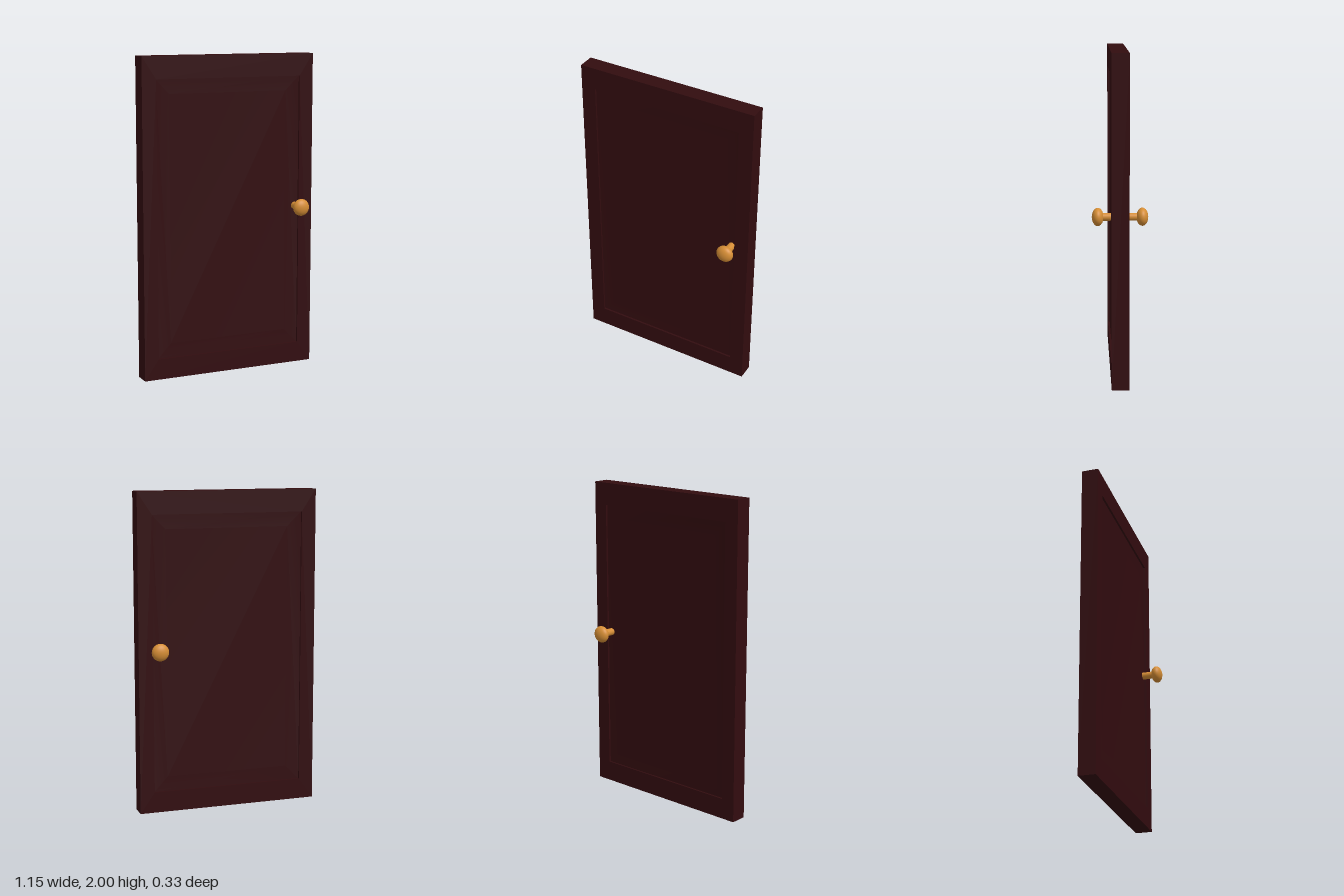
import * as THREE from 'three';

const W = 1.155, H = 2, T = 0.105;            // door slab
const OX = 0.485, OY0 = 0.13, OY1 = 1.86;     // panel opening

// Rectangle as a shape or hole outline
function rect(path, x, y0, y1) {
  path.moveTo(-x, y0);
  path.lineTo(x, y0);
  path.lineTo(x, y1);
  path.lineTo(-x, y1);
  path.closePath();
  return path;
}

// Softly sloped recessed panel: two rectangular loops and a flat middle
function panelGeometry() {
  const pos = [], idx = [];
  for (const [inset, depth] of [[0, 0.012], [0.09, 0.02]]) {
    const x = OX - inset, y0 = OY0 + inset, y1 = OY1 - inset, z = T / 2 - depth;
    pos.push(-x, y0, z, x, y0, z, x, y1, z, -x, y1, z);
  }
  for (let i = 0; i < 4; i++) {
    const j = (i + 1) % 4;
    idx.push(i, j, 4 + j, i, 4 + j, 4 + i);
  }
  idx.push(4, 5, 6, 4, 6, 7);
  const g = new THREE.BufferGeometry();
  g.setAttribute('position', new THREE.Float32BufferAttribute(pos, 3));
  g.setIndex(idx);
  g.computeVertexNormals();
  return g;
}

export function createModel() {
  const wood = new THREE.MeshStandardMaterial({ color: 0x320c0f });
  wood.name = 'darkWood';
  const brass = new THREE.MeshStandardMaterial({ color: 0xd58d35 });
  brass.name = 'brass';

  const door = new THREE.Group();
  door.name = 'door';
  const add = (name, geometry, material, parent = door) => {
    const mesh = new THREE.Mesh(geometry, material);
    mesh.name = name;
    parent.add(mesh);
    return mesh;
  };

  // Frame around the panel opening
  const outline = rect(new THREE.Shape(), W / 2, 0, H);
  outline.holes.push(rect(new THREE.Path(), OX, OY0, OY1));
  const frame = new THREE.ExtrudeGeometry(outline, { depth: T, bevelEnabled: false });
  add('frame', frame.translate(0, 0, -T / 2), wood);

  // Recessed panels on both faces
  const panel = panelGeometry();
  add('frontPanel', panel, wood);
  add('backPanel', panel, wood).rotation.y = Math.PI;

  // Knob and stem on both faces
  for (const [name, side] of [['frontHandle', 1], ['backHandle', -1]]) {
    const handle = new THREE.Group();
    handle.name = name;
    handle.position.set(0.462, 1.033, 0);
    door.add(handle);
    const stem = add('stem', new THREE.CylinderGeometry(0.023, 0.023, 0.11, 24), brass, handle);
    stem.rotation.x = Math.PI / 2;
    stem.position.z = side * 0.075;
    const knob = add('knob', new THREE.SphereGeometry(0.054, 32, 20), brass, handle);
    knob.scale.z = 0.65;
    knob.position.z = side * 0.132;
  }
  return door;
}
